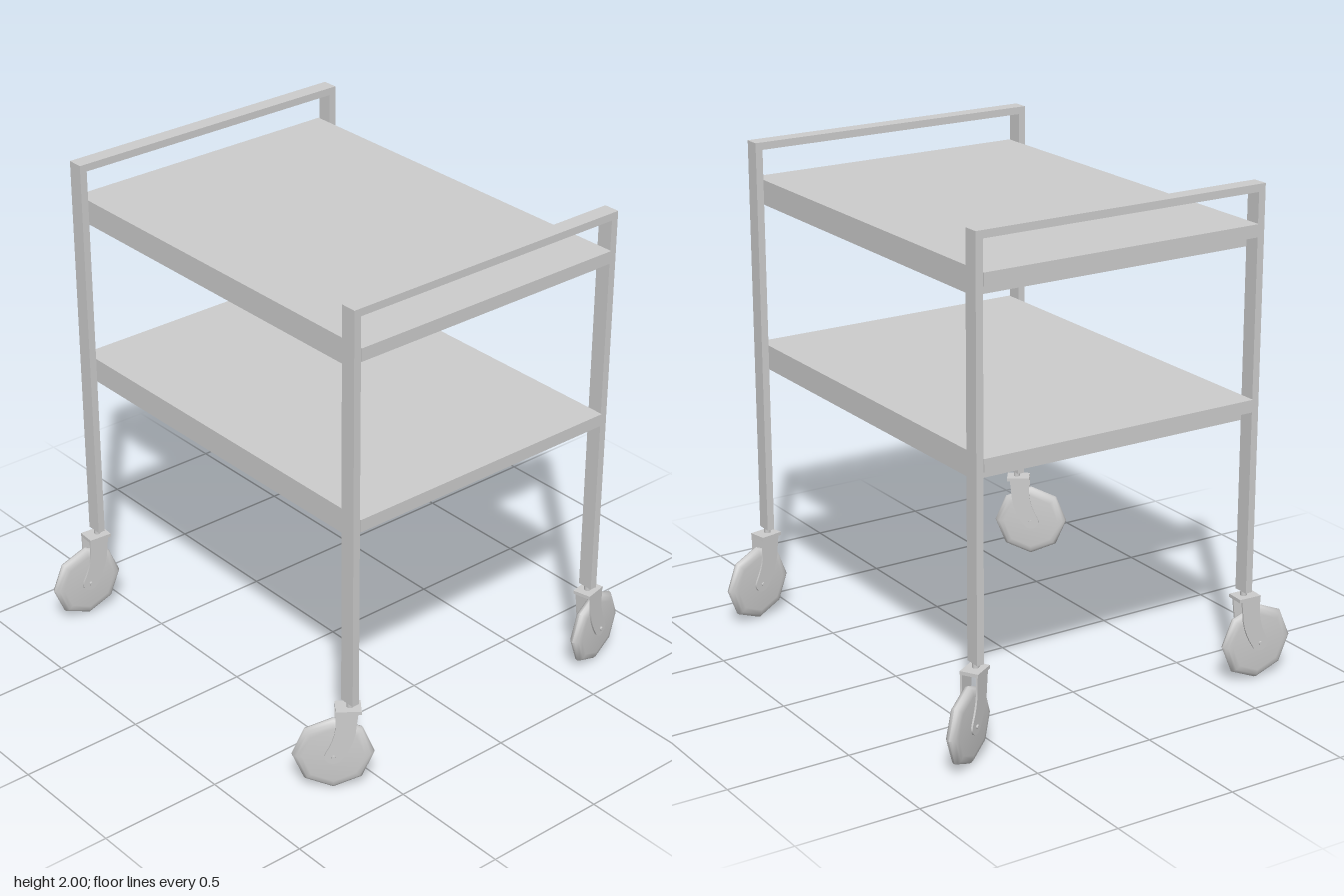
import * as THREE from 'three';
import { toCreasedNormals } from 'three/addons/utils/BufferGeometryUtils.js';

const material = new THREE.MeshStandardMaterial({ color: 0xcccccc });

function add(parent, name, geometry, x = 0, y = 0, z = 0) {
  const mesh = new THREE.Mesh(geometry, material);
  mesh.name = name;
  mesh.position.set(x, y, z);
  parent.add(mesh);
  return mesh;
}

// U-shaped end frame: two legs joined by a handle bar
function frameGeometry(depth) {
  const s = new THREE.Shape();
  [[-0.63, 0.38], [-0.6, 0.38], [-0.6, 1.97], [0.6, 1.97], [0.6, 0.38], [0.63, 0.38], [0.63, 2], [-0.63, 2]]
    .forEach(([x, y], i) => (i ? s.lineTo(x, y) : s.moveTo(x, y)));
  s.closePath();
  return new THREE.ExtrudeGeometry(s, { depth, bevelEnabled: false }).translate(0, 0, -depth / 2);
}

// Eight-sided wheel with a rounded tread
function wheelGeometry() {
  const half = [[0, 0.021], [0.118, 0.023], [0.138, 0.02], [0.15, 0.011]];
  const pts = [
    ...half.map(([r, w]) => new THREE.Vector2(r, -w)),
    new THREE.Vector2(0.155, 0),
    ...half.slice().reverse().map(([r, w]) => new THREE.Vector2(r, w)),
  ];
  return toCreasedNormals(new THREE.LatheGeometry(pts, 8).rotateX(Math.PI / 2), 0.85);
}

// Curved fork arm sweeping from the swivel down to the axle
function armGeometry() {
  const s = new THREE.Shape();
  s.moveTo(-0.03, 0.355);
  s.lineTo(-0.022, 0.29);
  s.quadraticCurveTo(-0.02, 0.22, 0.03, 0.145);
  s.quadraticCurveTo(0.05, 0.118, 0.08, 0.13);
  s.quadraticCurveTo(0.105, 0.147, 0.092, 0.175);
  s.quadraticCurveTo(0.055, 0.24, 0.055, 0.3);
  s.lineTo(0.055, 0.355);
  s.closePath();
  const geo = new THREE.ExtrudeGeometry(s, { depth: 0.007, bevelEnabled: false, curveSegments: 5 });
  return toCreasedNormals(geo.translate(0, 0, -0.0035), 0.6);
}

const wheel = wheelGeometry();
const arm = armGeometry();

// Swivel caster trailing along its local +x
function caster(name) {
  const g = new THREE.Group();
  g.name = name;
  add(g, 'casterStem', new THREE.CylinderGeometry(0.013, 0.013, 0.05, 12), 0, 0.367, 0);
  add(g, 'swivelPlate', new THREE.BoxGeometry(0.096, 0.014, 0.075), 0.007, 0.353, 0);
  add(g, 'casterWheel', wheel, 0.062, 0.156, 0);
  for (const side of [-1, 1]) add(g, 'forkArm', arm, 0, 0, side * 0.032);
  add(g, 'axle', new THREE.CylinderGeometry(0.008, 0.008, 0.086, 8).rotateX(Math.PI / 2), 0.062, 0.158, 0);
  return g;
}

export function createModel() {
  const model = new THREE.Group();
  model.name = 'trolley';
  const frontZ = 0.828, backZ = -0.765, mid = (frontZ + backZ) / 2;
  const depth = 0.065;

  add(model, 'frontFrame', frameGeometry(depth), 0, 0, frontZ);
  add(model, 'backFrame', frameGeometry(depth), 0, 0, backZ);

  // Shelves with a half-height rail at each end
  for (const [name, top] of [['upper', 1.85], ['lower', 1.17]]) {
    add(model, name + 'Shelf', new THREE.BoxGeometry(1.2, 0.1, frontZ - backZ - depth), 0, top - 0.05, mid);
    for (const z of [frontZ, backZ])
      add(model, name + 'ShelfRail', new THREE.BoxGeometry(1.2, 0.05, depth + 0.01), 0, top - 0.025, z);
  }

  // Casters, each swivelled to its own direction
  for (const [name, x, z, turn] of [
    ['frontLeftCaster', 0.615, frontZ, 0.22],
    ['frontRightCaster', -0.615, frontZ, 2.5],
    ['backLeftCaster', 0.615, backZ, 0.54],
    ['backRightCaster', -0.615, backZ, 3.07],
  ]) {
    const c = caster(name);
    c.position.set(x, 0, z);
    c.rotation.y = turn;
    model.add(c);
  }
  return model;
}
